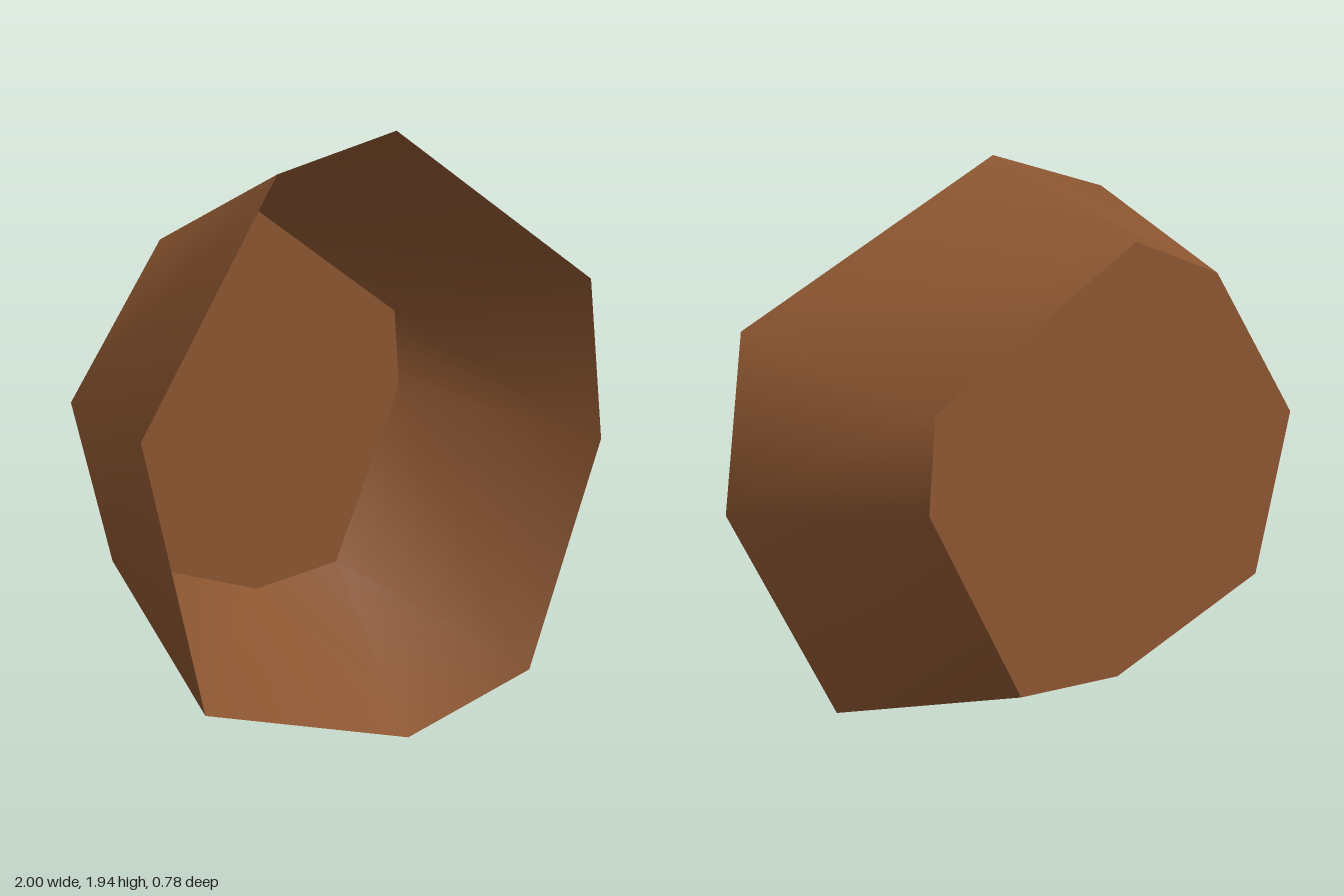
import * as THREE from 'three';

// Outlines as [x, y], clockwise from the front
const rim = [
  [-0.05, 1.94], [0.91, 1.455], [1.0, 0.88], [0.64, 0.1],
  [0.04, 0.003], [-0.79, 0.28], [-1.0, 1.1], [-0.52, 1.81],
];
const base = [
  [-0.05, 1.73], [0.695, 1.308], [0.73, 1.02], [0.425, 0.38],
  [0.04, 0.345], [-0.58, 0.555], [-0.735, 1.1], [-0.39, 1.603],
];

// Rim and base both lie on slightly tilted planes
const rimPoints = rim.map(([x, y]) => [x, y, 0.38 + 0.0075 * y]);
const basePoints = base.map(([x, y]) => [x, y, -0.401 + 0.0325 * y]);

function surface(name, points, index, material) {
  const geometry = new THREE.BufferGeometry();
  geometry.setAttribute('position', new THREE.Float32BufferAttribute(points.flat(), 3));
  geometry.setIndex(index);
  geometry.computeVertexNormals();
  const mesh = new THREE.Mesh(geometry, material);
  mesh.name = name;
  return mesh;
}

export function createModel() {
  const group = new THREE.Group();
  group.name = 'openBowl';
  const brown = new THREE.MeshStandardMaterial({ name: 'brown', color: 0x8b5530, side: THREE.DoubleSide });
  const n = rim.length;

  // Flared wall with smooth normals, open at the front
  const wallIndex = [];
  for (let i = 0; i < n; i++) {
    const j = (i + 1) % n;
    wallIndex.push(i, j, n + i, j, n + j, n + i);
  }
  group.add(surface('flaredWall', [...rimPoints, ...basePoints], wallIndex, brown));

  // Flat floor closing the back
  const floorIndex = [];
  for (let i = 1; i < n - 1; i++) floorIndex.push(0, i, i + 1);
  group.add(surface('floor', basePoints, floorIndex, brown));

  return group;
}
